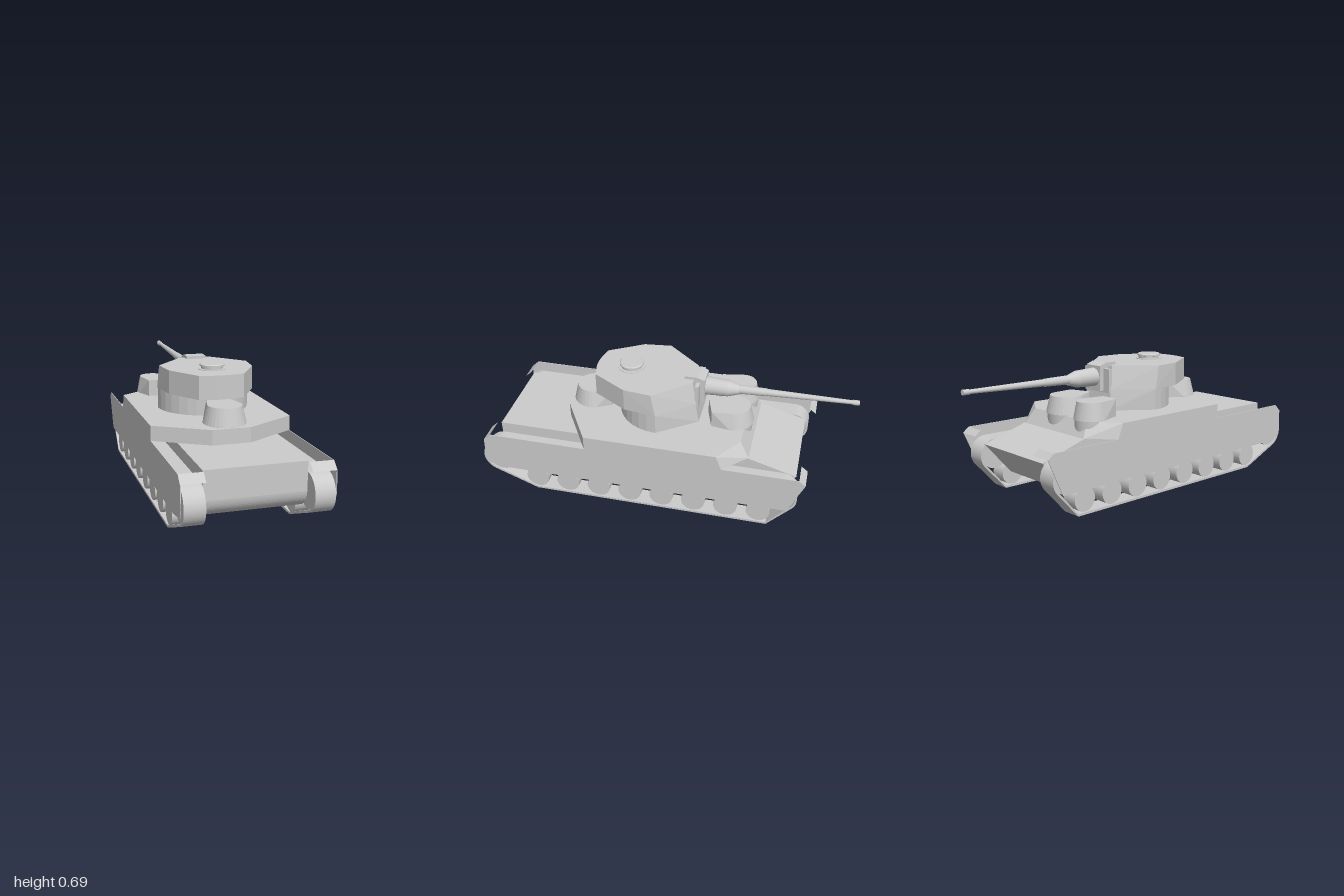
import * as THREE from 'three';
import { ConvexGeometry } from 'three/addons/geometries/ConvexGeometry.js';

const mat = new THREE.MeshStandardMaterial({ color: 0xcccccc });
const flat = new THREE.MeshStandardMaterial({ color: 0xcccccc, flatShading: true });
const rad = THREE.MathUtils.degToRad;

export function createModel() {
  const model = new THREE.Group();

  function add(name, geometry, material = mat, parent = model) {
    const mesh = new THREE.Mesh(geometry, material);
    mesh.name = name;
    parent.add(mesh);
    return mesh;
  }

  // Side profile in (z, y), extruded between x0 and x1
  function extrudeX(shape, x0, x1) {
    const g = new THREE.ExtrudeGeometry(shape, { depth: x1 - x0, bevelEnabled: false, curveSegments: 20 });
    return g.rotateY(-Math.PI / 2).translate(x1, 0, 0);
  }
  const shapeOf = (pts) => new THREE.Shape(pts.map(([z, y]) => new THREE.Vector2(z, y)));

  // Convex solid between two plan outlines in (x, z)
  function loft(bottom, y0, top, y1) {
    const at = (y) => ([x, z]) => new THREE.Vector3(x, y, z);
    return new ConvexGeometry([...bottom.map(at(y0)), ...top.map(at(y1))]);
  }
  // Mirror a half outline across x = 0
  const both = (half) => [...half, ...half.map(([x, z]) => [-x, z])];

  // Cylinder lying along z, front end at z0 (radius r0), back end at z1 (radius r1)
  function alongZ(r0, r1, z0, z1, y, x = 0) {
    return new THREE.CylinderGeometry(r1, r0, z1 - z0, 24).rotateX(Math.PI / 2).translate(x, y, (z0 + z1) / 2);
  }

  // Hull with rounded tail and sloped nose
  const hull = new THREE.Shape();
  hull.moveTo(-0.47, 0.348);
  hull.lineTo(-0.73, 0.27);
  hull.lineTo(-0.57, 0.09);
  hull.lineTo(0.76, 0.09);
  hull.quadraticCurveTo(0.91, 0.1, 0.92, 0.2);
  hull.lineTo(0.92, 0.348);
  add('hull', extrudeX(hull, -0.255, 0.255));

  // Raised middle deck
  const rear = [[0.375, 0.4], [0.1, 0.565]];
  add('superstructure', loft(
    both([[0.25, -0.47], [0.375, -0.345], ...rear]), 0.348,
    both([[0.22, -0.42], [0.375, -0.315], ...rear]), 0.427), flat);

  // Closed loop around the wheels, t is the inset from the outer face
  function trackLoop(Type, t) {
    const s = new Type();
    s.moveTo(-0.6, t);
    s.lineTo(0.7, t);
    s.absarc(0.9, 0.19, 0.1 - t, rad(-65), rad(90), false);
    s.absarc(-0.66, 0.2, 0.09 - t, rad(90), rad(220), false);
    s.closePath();
    return s;
  }

  // Sloped end plate of the open track channel
  function endPlate(xa, xb, [z0, y0], [z1, y1]) {
    const g = new THREE.PlaneGeometry(1, 1);
    [[xa, y1, z1], [xb, y1, z1], [xa, y0, z0], [xb, y0, z0]].forEach((p, i) => g.attributes.position.setXYZ(i, ...p));
    g.computeVertexNormals();
    return g;
  }

  const skirt = shapeOf([[-0.7, 0.13], [0.85, 0.13], [0.97, 0.15], [0.985, 0.2], [0.98, 0.31], [0.94, 0.348], [-0.75, 0.348], [-0.785, 0.32]]);
  for (const side of [-1, 1]) {
    const running = new THREE.Group();
    running.name = side > 0 ? 'leftRunningGear' : 'rightRunningGear';
    model.add(running);
    const span = (a, b) => (side > 0 ? [a, b] : [-b, -a]);

    add('skirt', extrudeX(skirt, ...span(0.371, 0.375)), mat, running);
    const [x0, x1] = span(0.255, 0.375);
    add('rearFenderPlate', endPlate(x0, x1, [0.98, 0.31], [0.94, 0.348]), mat, running);
    add('frontFenderPlate', endPlate(x1, x0, [-0.785, 0.32], [-0.75, 0.348]), mat, running);

    const loop = trackLoop(THREE.Shape, 0);
    loop.holes.push(trackLoop(THREE.Path, 0.012));
    add('track', extrudeX(loop, ...span(0.261, 0.364)), mat, running);

    const wheel = (name, z, y, r) => {
      const g = new THREE.CylinderGeometry(r, r, 0.09, 28).rotateZ(Math.PI / 2);
      add(name, g, mat, running).position.set(side * 0.312, y, z);
    };
    for (let i = 0; i < 8; i++) wheel('roadWheel', 0.695 - i * 0.178, 0.077, 0.064);
    wheel('driveWheel', 0.9, 0.19, 0.087);
    wheel('idlerWheel', -0.66, 0.2, 0.077);
  }

  // Main turret: rounded lower ring, wider angular upper body
  const arc = [];
  for (let i = 0; i <= 16; i++) {
    const a = (i / 16) * Math.PI;
    arc.push([0.25 * Math.cos(a), 0.035 + 0.25 * Math.sin(a)]);
  }
  const turret = new THREE.Group();
  turret.name = 'mainTurret';
  model.add(turret);
  add('turretBase', loft(
    [...arc, [0.1, -0.17], [-0.1, -0.17]], 0.427,
    [...arc, [0.1, -0.15], [-0.1, -0.15]], 0.54), flat, turret);
  const back = [[0.23, 0.21], [0.12, 0.395], [0.03, 0.413]];
  add('turretBody', loft(
    both([[0.1, -0.155], [0.253, 0.035], ...back]), 0.54,
    both([[0.085, -0.13], [0.247, 0.06], ...back]), 0.665), flat, turret);

  // Cupola hatch
  const cupola = [[0, 0.664], [0.073, 0.664], [0.073, 0.668], [0.057, 0.668], [0.057, 0.681], [0.065, 0.683], [0.065, 0.69], [0.059, 0.695], [0, 0.695]]
    .map(([r, y]) => new THREE.Vector2(r, y));
  add('cupola', new THREE.LatheGeometry(cupola, 32), flat, turret).position.z = 0.225;

  // Gun mount, sleeve and barrel
  const gun = new THREE.Group();
  gun.name = 'mainGun';
  turret.add(gun);
  const mount = shapeOf([[-0.19, 0.53], [-0.08, 0.53], [-0.08, 0.68], [-0.15, 0.68], [-0.19, 0.665]]);
  add('gunMount', extrudeX(mount, -0.055, 0.055), mat, gun);
  add('mountPlate', new THREE.BoxGeometry(0.2, 0.13, 0.02).translate(0, 0.585, -0.155), mat, gun);
  add('sleeve', alongZ(0.045, 0.05, -0.31, -0.18, 0.602), mat, gun);
  add('sleeveNose', alongZ(0.026, 0.045, -0.37, -0.31, 0.602), mat, gun);
  const barrel = new THREE.Group();
  barrel.name = 'barrel';
  barrel.position.set(0, 0.604, -0.35);
  barrel.rotation.x = 0.018;
  gun.add(barrel);
  add('barrelRear', alongZ(0.021, 0.025, -0.17, 0, 0), mat, barrel);
  add('barrelTube', alongZ(0.011, 0.019, -0.62, -0.17, 0), mat, barrel);
  add('muzzle', alongZ(0.014, 0.014, -0.65, -0.615, 0), mat, barrel);

  // Small horseshoe turret on a round base, its rounded end facing local +z
  function smallTurret(name, r, x, z, turn, tail) {
    const outline = (k) => {
      const pts = [[0.55 * r, -tail], [-0.55 * r, -tail]];
      for (let i = 0; i <= 20; i++) {
        const a = rad(-20 + i * 11);
        pts.push([k * r * Math.cos(a), k * r * Math.sin(a)]);
      }
      return pts;
    };
    const group = new THREE.Group();
    group.name = name;
    group.position.set(x, 0, z);
    group.rotation.y = turn;
    model.add(group);
    add('smallTurretBody', loft(outline(1), 0.43, outline(0.8), 0.522), flat, group);
    add('smallTurretBase', new THREE.CylinderGeometry(0.95 * r, 0.92 * r, 0.09, 32).translate(0, 0.388, 0), mat, group);
  }
  smallTurret('rearSmallTurret', 0.112, 0, 0.447, 0, 0.12);
  smallTurret('frontRightSmallTurret', 0.09, -0.19, -0.37, Math.PI, 0.13);
  smallTurret('frontCentreSmallTurret', 0.112, 0.03, -0.35, Math.PI + 0.3, 0.13);

  return model;
}
